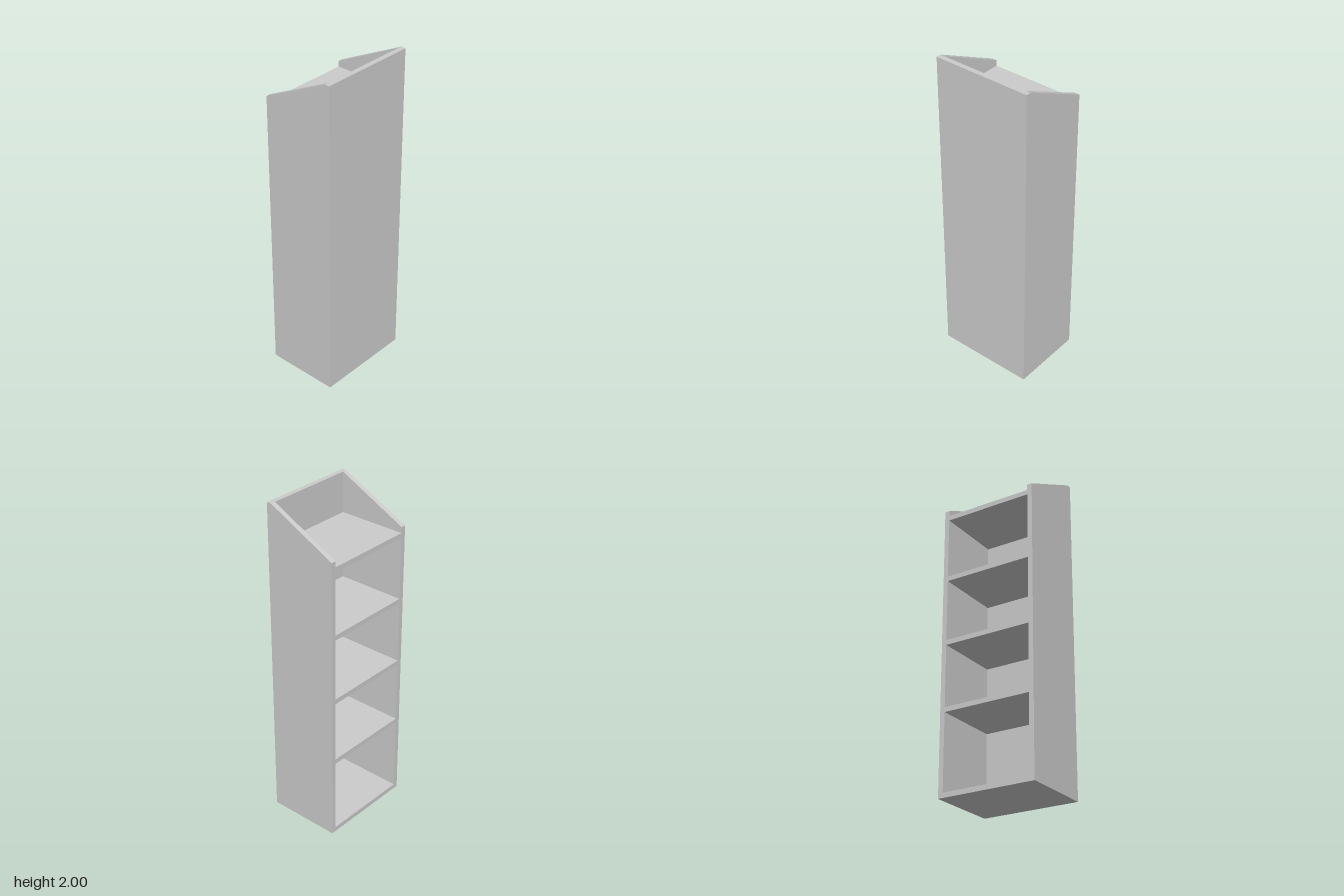
import * as THREE from 'three';

const W = 0.454, D = 0.61, H = 2, T = 0.03, FRONT_H = 1.79;

export function createModel() {
  const model = new THREE.Group();
  model.name = 'slopedShelfUnit';
  const material = new THREE.MeshStandardMaterial({ color: 0xcccccc, flatShading: true });

  const add = (name, geometry, x, y, z) => {
    const mesh = new THREE.Mesh(geometry, material);
    mesh.name = name;
    mesh.position.set(x, y, z);
    model.add(mesh);
  };

  // Side panels with a sloping top that ends in a short flat
  const profile = new THREE.Shape([
    new THREE.Vector2(-W / 2, 0),
    new THREE.Vector2(W / 2, 0),
    new THREE.Vector2(W / 2, H),
    new THREE.Vector2(W / 2 - T, H),
    new THREE.Vector2(-W / 2, FRONT_H),
  ]);
  const side = new THREE.ExtrudeGeometry(profile, { depth: T, bevelEnabled: false });
  add('sidePanelA', side, 0, 0, D / 2 - T);
  add('sidePanelB', side, 0, 0, -D / 2);

  // Full-height panel closing the +x side
  const inner = D - 2 * T;
  add('backPanel', new THREE.BoxGeometry(T, H, inner), W / 2 - T / 2, H / 2, 0);

  // Base board and four shelves, flush with the open -x side
  const board = new THREE.BoxGeometry(W - T, T, inner);
  const tops = [T, 0.525, 0.935, 1.345, 1.755];
  tops.forEach((top, i) => add(i ? `shelf${i}` : 'baseBoard', board, -T / 2, top - T / 2, 0));

  return model;
}
